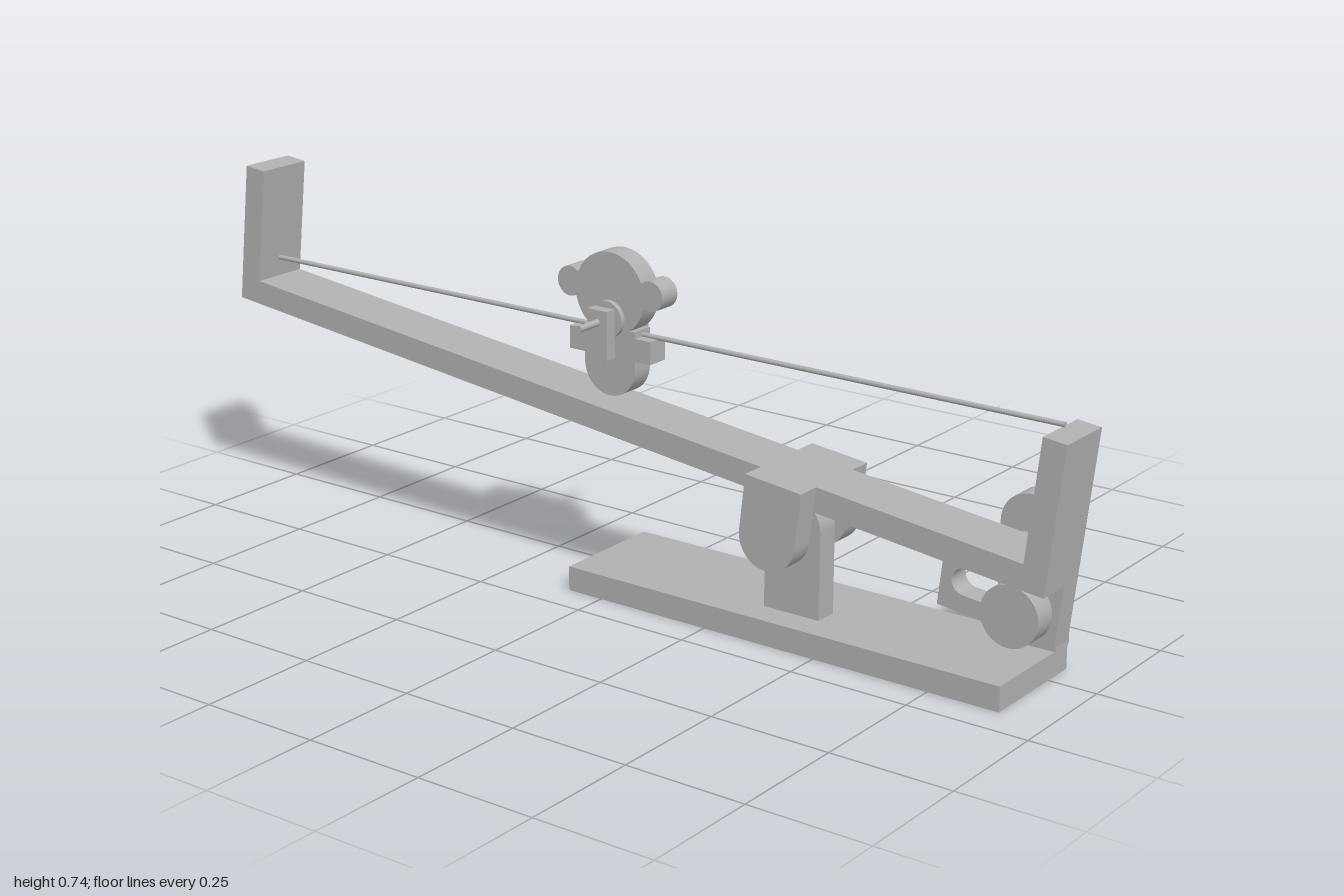
import * as THREE from 'three';

const grey = new THREE.MeshStandardMaterial({ color: 0xb0b0b0 });
grey.name = 'plain grey';

function add(parent, name, geometry) {
  const mesh = new THREE.Mesh(geometry, grey);
  mesh.name = name;
  parent.add(mesh);
  return mesh;
}

// Box given by its limits on each axis
function box(parent, name, x0, x1, y0, y1, z0, z1) {
  const g = new THREE.BoxGeometry(x1 - x0, y1 - y0, z1 - z0);
  g.translate((x0 + x1) / 2, (y0 + y1) / 2, (z0 + z1) / 2);
  return add(parent, name, g);
}

// Round bar along z
function rod(parent, name, x, y, r, z0, z1) {
  const g = new THREE.CylinderGeometry(r, r, z1 - z0, 32);
  g.rotateX(Math.PI / 2);
  g.translate(x, y, (z0 + z1) / 2);
  return add(parent, name, g);
}

// Flat outline given thickness between z0 and z1
function plate(parent, name, shape, z0, z1) {
  const g = new THREE.ExtrudeGeometry(shape, { depth: z1 - z0, bevelEnabled: false, curveSegments: 16 });
  g.translate(0, 0, z0);
  return add(parent, name, g);
}

// Oblong with round ends centred on two points
function oblong(target, ax, ay, bx, by, r) {
  const t = Math.atan2(by - ay, bx - ax);
  target.absarc(bx, by, r, t - Math.PI / 2, t + Math.PI / 2, false);
  target.absarc(ax, ay, r, t + Math.PI / 2, t + Math.PI * 1.5, false);
  target.closePath();
  return target;
}

// Upright strip, square at yFlat and round about (x, yRound)
function tongue(x, yRound, yFlat, r) {
  const s = new THREE.Shape();
  const up = yRound > yFlat;
  s.moveTo(x + r, yFlat);
  s.lineTo(x + r, yRound);
  s.absarc(x, yRound, r, 0, up ? Math.PI : -Math.PI, !up);
  s.lineTo(x - r, yFlat);
  s.closePath();
  return s;
}

export function createModel() {
  const model = new THREE.Group();
  model.name = 'rockingWireToy';

  // Stand
  const stand = new THREE.Group();
  stand.name = 'stand';
  model.add(stand);
  box(stand, 'base', -0.08, 0.9, 0, 0.05, -0.068, 0.178);
  plate(stand, 'pivotPost', tongue(0.41, 0.225, 0.05, 0.0625), 0.068, 0.117);
  plate(stand, 'crankPost', tongue(0.84, 0.282, 0.05, 0.0625), -0.068, -0.018);

  // Tilting beam, built level around its pivot
  const beam = new THREE.Group();
  beam.name = 'beam';
  beam.position.set(0.41, 0.225, 0);
  beam.rotation.z = -0.112;
  model.add(beam);
  const u = new THREE.Shape();
  [[-1.414, 0.0625], [0.552, 0.0625], [0.552, 0.355], [0.503, 0.355], [0.503, 0.1125],
    [-1.365, 0.1125], [-1.365, 0.355], [-1.414, 0.355]]
    .forEach(([x, y], i) => (i ? u.lineTo(x, y) : u.moveTo(x, y)));
  u.closePath();
  plate(beam, 'beamWithEndPosts', u, 0.03, 0.153);
  for (const z of [-0.02, 0.153]) plate(beam, 'pivotCheek', tongue(0, 0, 0.1125, 0.0625), z, z + 0.05);
  rod(beam, 'pivotPin', 0, 0, 0.025, 0.03, 0.153);

  // Slotted plate under the beam
  const slotted = new THREE.Shape();
  slotted.moveTo(0.305, -0.061);
  slotted.lineTo(0.552, -0.061);
  slotted.lineTo(0.552, 0.0625);
  slotted.lineTo(0.305, 0.0625);
  slotted.closePath();
  slotted.holes.push(oblong(new THREE.Path(), 0.354, 0, 0.503, 0, 0.026));
  plate(beam, 'slottedPlate', slotted, 0.03, 0.08);

  // Crank
  const crank = new THREE.Group();
  crank.name = 'crank';
  model.add(crank);
  plate(crank, 'innerCrankArm', oblong(new THREE.Shape(), 0.838, 0.222, 0.885, 0.168, 0.049), -0.018, 0.03);
  plate(crank, 'outerCrankArm', oblong(new THREE.Shape(), 0.838, 0.222, 0.78, 0.173, 0.049), -0.116, -0.068);
  rod(crank, 'crankAxle', 0.838, 0.222, 0.024, -0.068, -0.018);
  rod(crank, 'crankPin', 0.885, 0.166, 0.024, 0.03, 0.08);
  rod(crank, 'crankPinHead', 0.885, 0.164, 0.06, 0.08, 0.13);
  rod(crank, 'handle', 0.78, 0.173, 0.024, -0.213, -0.116);

  // Wire strung between the end posts
  const wire = new THREE.CylinderGeometry(0.005, 0.005, 1.96, 12);
  wire.rotateZ(Math.PI / 2);
  wire.translate(-0.02, 0.53, 0.093);
  add(model, 'wire', wire);

  // Little figure rolling on the wire
  const figure = new THREE.Group();
  figure.name = 'figure';
  figure.position.x = -0.021;
  model.add(figure);
  rod(figure, 'head', 0, 0.607, 0.083, 0.071, 0.119);
  for (const s of [-1, 1]) rod(figure, 'ear', s * 0.097, 0.617, 0.03, 0.071, 0.119);
  box(figure, 'arms', -0.098, 0.098, 0.481, 0.527, 0.071, 0.119);
  plate(figure, 'body', tongue(0, 0.463, 0.54, 0.061), 0.071, 0.119);
  rod(figure, 'wheel', 0, 0.558, 0.037, 0.057, 0.13);
  rod(figure, 'axle', 0, 0.558, 0.007, -0.03, 0.215);
  for (const z of [0.027, 0.134]) box(figure, 'hanger', -0.024, 0.024, 0.485, 0.583, z, z + 0.024);

  return model;
}
